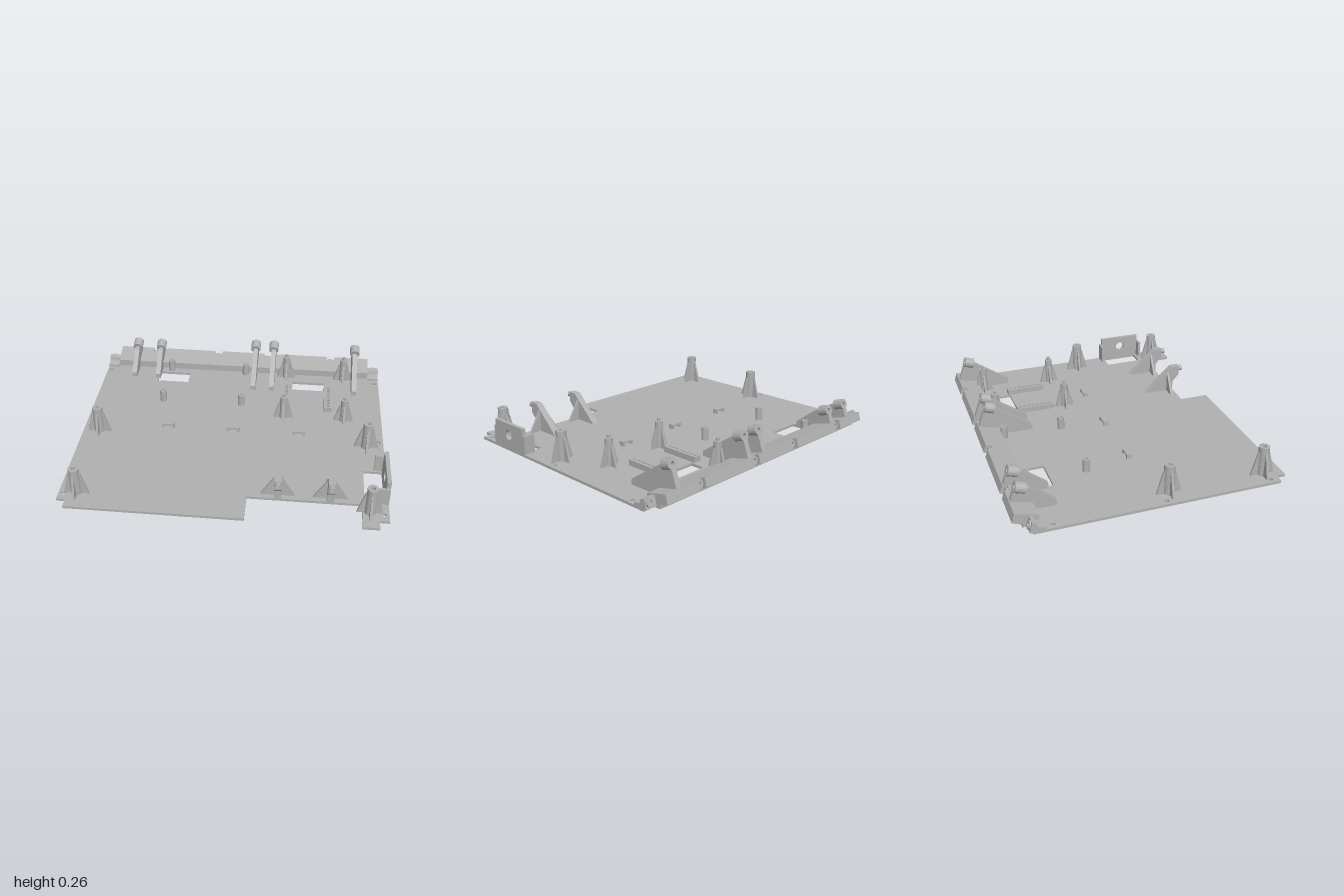
import * as THREE from 'three';

const T = 0.017; // base plate thickness
const TILT = 0.3; // lean of the rear rail

export function createModel() {
  const model = new THREE.Group();
  const grey = new THREE.MeshStandardMaterial({ color: 0xb0b0b0 });

  const add = (name, geo, x = 0, y = 0, z = 0, parent = model) => {
    const mesh = new THREE.Mesh(geo, grey);
    mesh.name = name;
    mesh.position.set(x, y, z);
    parent.add(mesh);
    return mesh;
  };
  const box = (name, x0, x1, y0, y1, z0, z1) =>
    add(name, new THREE.BoxGeometry(x1 - x0, y1 - y0, z1 - z0), (x0 + x1) / 2, (y0 + y1) / 2, (z0 + z1) / 2);
  const poly = (pts) => new THREE.Shape(pts.map((p) => new THREE.Vector2(p[0], p[1])));
  const circle = (x, y, r) => new THREE.Path().absarc(x, y, r, 0, Math.PI * 2, true);
  const extrude = (shape, depth) =>
    new THREE.ExtrudeGeometry(shape, { depth, bevelEnabled: false, curveSegments: 12 });

  // Outline in x and z, pushed upward
  const slab = (shape, h) => extrude(shape, h).rotateX(-Math.PI / 2);
  // Outline in z and y, pushed along x between x0 and x1
  const side = (name, pts, x0, x1, holes = []) => {
    const shape = poly(pts.map(([z, y]) => [-z, y]));
    for (const [z, y, r] of holes) shape.holes.push(circle(-z, y, r));
    return add(name, extrude(shape, x1 - x0).rotateY(Math.PI / 2), x0);
  };
  // Round post along z with a bore
  const tube = (r, bore, h) => {
    const shape = new THREE.Shape().absarc(0, 0, r, 0, Math.PI * 2, false);
    if (bore) shape.holes.push(circle(0, 0, bore));
    return extrude(shape, h);
  };
  const post = (r, bore, h) => tube(r, bore, h).rotateX(-Math.PI / 2);
  const tiltedBoss = (name, r, bore, h, x, y, z) =>
    add(name, tube(r, bore, h).translate(0, 0, -h / 2).rotateX(TILT - Math.PI), x, y, z);

  // Base plate with cutouts and screw holes
  const outline = [
    [-1, 0.775], [-0.945, 0.775], [-0.945, 0.835], [0.145, 0.835], [0.145, 0.645], [0.84, 0.645],
    [0.84, 0.835], [0.94, 0.835], [0.94, 0.775], [1, 0.775], [1, -0.74], [0.92, -0.74],
    [0.92, -0.78], [-0.92, -0.78], [-0.92, -0.74], [-1, -0.74],
  ];
  const plate = poly(outline.map(([x, z]) => [x, -z]));
  const windows = [
    [-0.605, -0.38, -0.63, -0.515], [0.38, 0.605, -0.59, -0.495], [0.858, 0.975, 0.345, 0.597],
  ];
  for (const [x0, x1, z0, z1] of windows) {
    plate.holes.push(poly([[x0, -z0], [x1, -z0], [x1, -z1], [x0, -z1]]));
  }
  for (const x of [-0.968, 0.968]) {
    for (const z of [-0.62, 0.053, 0.723]) plate.holes.push(circle(x, -z, 0.014));
  }
  add('basePlate', slab(plate, T));

  // Posts braced by four tapered fins
  const finnedPost = (name, x, z, r, h, reach, finH, pin) => {
    const group = new THREE.Group();
    group.name = name;
    group.position.set(x, T, z);
    model.add(group);
    add('post', post(r, pin ? 0 : 0.014, h - T), 0, 0, 0, group);
    if (pin) add('pin', post(0.011, 0, 0.02), 0, h - T, 0, group);
    const inner = r * 0.8;
    const fin = poly([[inner, 0], [reach, 0], [r + 0.004, finH], [inner, finH]]);
    for (let i = 0; i < 4; i++) {
      const mesh = add('fin', extrude(fin, 0.014).translate(0, 0, -0.007), 0, 0, 0, group);
      mesh.rotation.y = (i * Math.PI) / 2;
    }
  };
  for (const x of [-0.89, 0.885]) {
    for (const z of [0.097, 0.705]) finnedPost('tallStandoff', x, z, 0.033, 0.207, 0.078, 0.15, false);
  }
  for (const x of [0.33, 0.74]) {
    for (const z of [-0.655, -0.168]) finnedPost('pinStandoff', x, z, 0.025, 0.19, 0.066, 0.13, true);
  }

  // Short plain standoffs
  for (const x of [-0.52, 0.03]) {
    for (const z of [-0.665, -0.283]) add('shortStandoff', post(0.023, 0.01, 0.085), x, T, z);
  }

  // Raised strips with a row of holes
  for (const x of [0.34, 0.634]) {
    const strip = poly([[-0.026, -0.128], [0.026, -0.128], [0.026, 0.128], [-0.026, 0.128]]);
    for (let i = 0; i < 8; i++) strip.holes.push(circle(0, (i - 3.5) * 0.03, 0.011));
    add('holeStrip', slab(strip, 0.036), x, T, -0.378);
  }

  // Small cable bridges
  for (const x of [-0.438, 0.002, 0.443]) {
    const arch = poly([
      [-0.042, 0], [-0.026, 0], [-0.026, 0.016], [0.026, 0.016], [0.026, 0],
      [0.042, 0], [0.042, 0.03], [-0.042, 0.03],
    ]);
    add('cableBridge', extrude(arch, 0.034), x, T, -0.006);
  }

  // Front hooks: sloping rib, cross wing and a boss facing forward
  for (const x of [0.333, 0.652]) {
    side('hookRib', [
      [0.445, T], [0.635, 0.195], [0.69, 0.195], [0.69, 0.13], [0.645, 0.08], [0.645, T],
    ], x - 0.022, x + 0.022);
    const wing = poly([[-0.105, 0], [0.105, 0], [0.022, 0.14], [-0.022, 0.14]]);
    add('hookWing', extrude(wing, 0.014), x, T, 0.598);
    add('hookBoss', tube(0.02, 0.009, 0.03), x, 0.172, 0.686);
  }

  // Side bracket with a round opening and two end flanges
  side('bracketWall', [
    [0.315, T], [0.315, 0.135], [0.333, 0.135], [0.333, 0.18], [0.62, 0.18],
    [0.62, 0.135], [0.635, 0.135], [0.635, T],
  ], 0.975, 1, [[0.48, 0.105, 0.032]]);
  box('bracketFlange', 0.925, 0.976, T, 0.135, 0.315, 0.332);
  box('bracketFlange', 0.925, 0.976, T, 0.135, 0.618, 0.635);

  // Tilted rear rail, notched where the screw bosses sit
  const fullRail = [[-0.685, 0.008], [-0.685, 0.065], [-0.822, 0.1], [-0.838, 0.045], [-0.78, 0.022], [-0.78, 0.008]];
  const notchRail = [[-0.685, 0.008], [-0.685, 0.065], [-0.79, 0.092], [-0.806, 0.035], [-0.78, 0.022], [-0.78, 0.008]];
  const notches = [-0.655, -0.187, 0.183, 0.65];
  let start = -0.923;
  for (const x of notches) {
    side('rearRail', fullRail, start, x - 0.027);
    side('railNotch', notchRail, x - 0.027, x + 0.027);
    tiltedBoss('railBoss', 0.023, 0.011, 0.03, x, 0.066, -0.8);
    start = x + 0.027;
  }
  side('rearRail', fullRail, start, 0.923);

  // Lower rail ends with their own bosses
  for (const s of [-1, 1]) {
    const x0 = s < 0 ? -1 : 0.923;
    side('railEnd', [
      [-0.665, 0.01], [-0.665, 0.03], [-0.71, 0.04], [-0.718, 0.068], [-0.742, 0.074], [-0.758, 0.012],
    ], x0, x0 + 0.077);
    tiltedBoss('endBoss', 0.026, 0.012, 0.03, s * 0.968, 0.045, -0.745);
  }

  // Rear arms rising from the plate to a tilted boss
  const arm = (x, front, top) => {
    const zTop = -0.835 + (top - 0.045) * 0.36;
    side('rearArm', [
      [front, T - 0.005], [front, 0.05], [-0.7, top], [zTop, top],
      [-0.834, 0.045], [-0.78, 0.022], [-0.78, T - 0.005],
    ], x - 0.017, x + 0.017);
    tiltedBoss('armBoss', 0.034, 0.013, 0.064, x, top + 0.006, zTop + 0.036);
  };
  for (const x of [0.098, 0.23, 0.818]) arm(x, -0.465, 0.21);
  for (const x of [-0.783, -0.608]) arm(x, -0.55, 0.165);

  return model;
}
